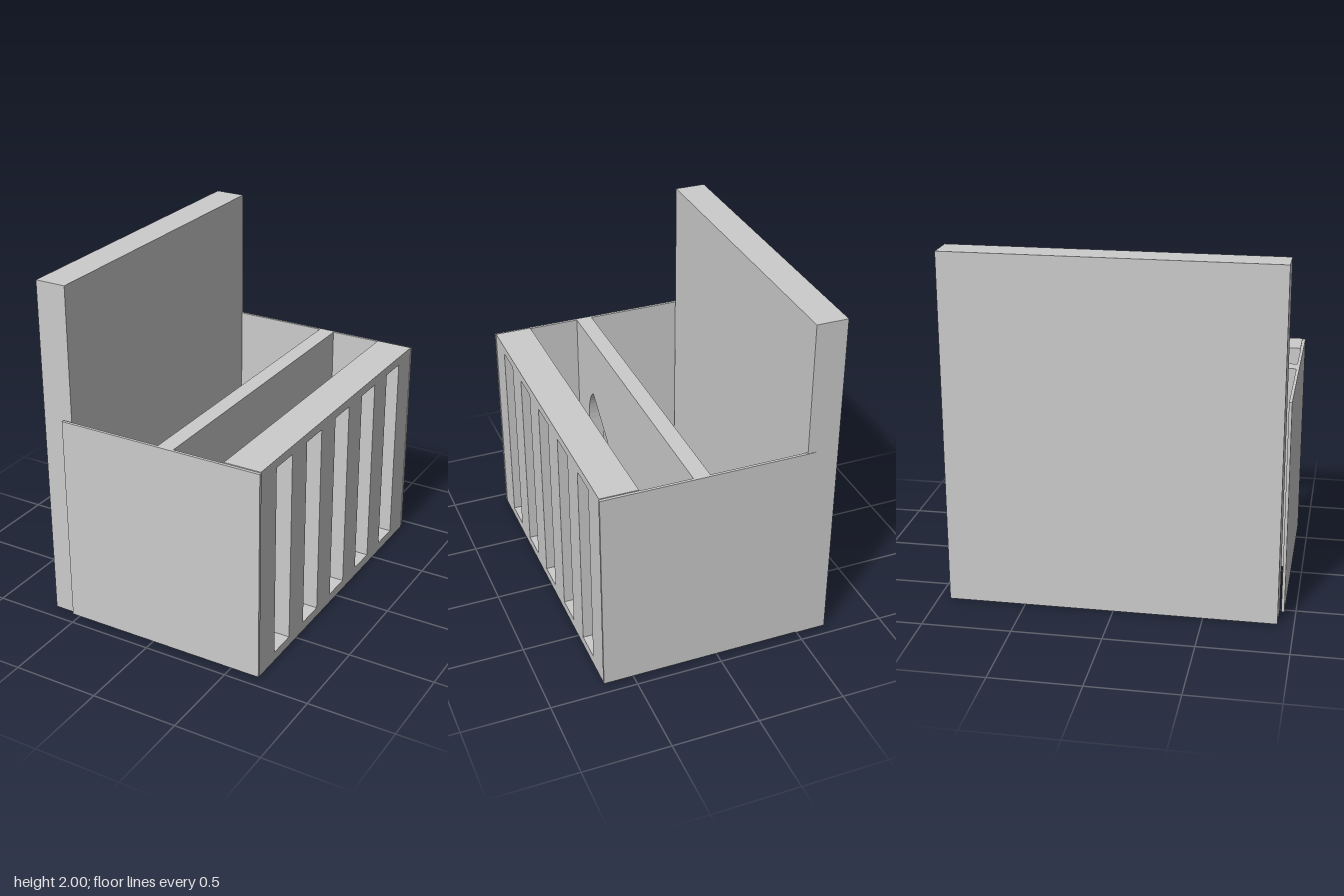
import * as THREE from 'three';

const material = new THREE.MeshStandardMaterial({ color: 0xcccccc, flatShading: true });

// Solid box given by its min and max corners
function box(name, x0, x1, y0, y1, z0, z1) {
  const mesh = new THREE.Mesh(new THREE.BoxGeometry(x1 - x0, y1 - y0, z1 - z0), material);
  mesh.position.set((x0 + x1) / 2, (y0 + y1) / 2, (z0 + z1) / 2);
  mesh.name = name;
  return mesh;
}

// Rectangle outline as a shape or path
function rect(path, u0, u1, v0, v1) {
  path.moveTo(u0, v0);
  path.lineTo(u1, v0);
  path.lineTo(u1, v1);
  path.lineTo(u0, v1);
  path.closePath();
  return path;
}

// Wall across z, cut by holes; drawn with u = -z and v = y, extruded along x
function cutWall(name, x0, x1, y0, y1, z0, z1, holes) {
  const shape = rect(new THREE.Shape(), -z1, -z0, y0, y1);
  shape.holes.push(...holes);
  const geometry = new THREE.ExtrudeGeometry(shape, { depth: x1 - x0, bevelEnabled: false, curveSegments: 8 });
  geometry.rotateY(Math.PI / 2);
  geometry.translate(x0, 0, 0);
  const mesh = new THREE.Mesh(geometry, material);
  mesh.name = name;
  return mesh;
}

export function createModel() {
  const group = new THREE.Group();
  group.name = 'slottedBuilding';

  // Tall solid wall
  group.add(box('tallWall', -0.675, -0.495, 0, 2, -0.935, 0.91));

  // Thin side panels
  group.add(box('frontPanel', -0.54, 0.673, 0.008, 1.23, 0.921, 0.938));
  group.add(box('backPanel', -0.54, 0.673, 0.008, 1.23, -0.938, -0.922));

  // Thick outer wall with five upright slots
  const slots = [];
  for (let i = -2; i <= 2; i++) {
    const c = i * 0.335;
    slots.push(rect(new THREE.Path(), c - 0.085, c + 0.085, 0.055, 1.185));
  }
  group.add(cutWall('slottedWall', 0.455, 0.67, 0, 1.235, -0.922, 0.921, slots));

  // Inner wall with two lopsided arched openings
  const sill = 0.05;
  const wide = new THREE.Path();
  wide.moveTo(-0.735, sill);
  wide.lineTo(-0.305, sill);
  wide.lineTo(-0.305, 0.57);
  wide.lineTo(-0.645, 0.855);
  wide.quadraticCurveTo(-0.73, 0.8, -0.735, 0.62);
  wide.closePath();

  const pointed = new THREE.Path();
  pointed.moveTo(0.3, sill);
  pointed.lineTo(0.73, sill);
  pointed.lineTo(0.73, 0.56);
  pointed.quadraticCurveTo(0.727, 0.74, 0.692, 0.8);
  pointed.closePath();

  group.add(cutWall('innerWall', 0.06, 0.155, 0, 1.23, -0.922, 0.921, [wide, pointed]));

  return group;
}
